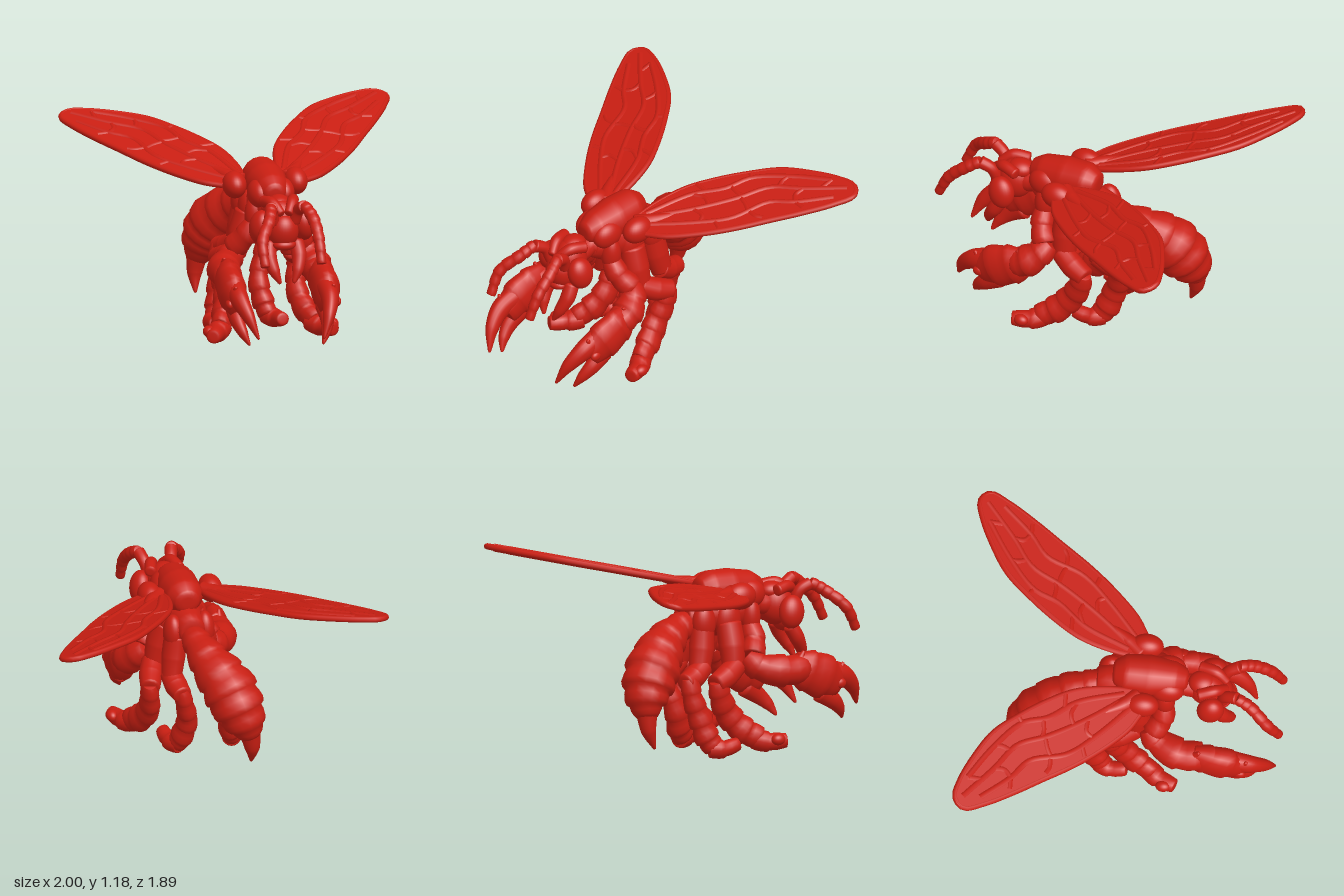
import * as THREE from 'three';

const red = new THREE.MeshStandardMaterial({ color: 0xc81e12 });
const V = (x, y, z) => new THREE.Vector3(x, y, z);

export function createModel() {
  const model = new THREE.Group();
  const add = (name, geo) => {
    const m = new THREE.Mesh(geo, red);
    m.name = name;
    model.add(m);
    return m;
  };

  // Ellipsoid at p with radii r
  const ball = (name, p, r, rot = [0, 0, 0]) => {
    const m = add(name, new THREE.SphereGeometry(1, 28, 18));
    m.position.set(...p);
    m.scale.set(...r);
    m.rotation.set(...rot);
    return m;
  };

  // Rounded limb through [x, y, z, radius] stations, with overlapping armour rings;
  // wide scales the cross-section sideways, s = -1 mirrors it
  const limb = (name, pts, { rings = 0, wide = 1, s = 1, step = 0.12 } = {}) => {
    const curve = new THREE.CatmullRomCurve3(pts.map(p => V(p[0] * s, p[1], p[2])), false, 'centripetal');
    const radius = t => {
      const k = Math.min(t * (pts.length - 1), pts.length - 1.0001), i = Math.floor(k);
      return THREE.MathUtils.lerp(pts[i][3], pts[i + 1][3], k - i);
    };
    const rows = [[0, 0.01], [0, 0.55], [0.008, 0.82]];
    if (rings) {
      for (let i = 0; i < rings; i++)
        [[0.04, 1 - step], [0.35, 0.98], [0.7, 1.03], [0.95, 1.02]].forEach(([f, k]) => rows.push([(i + f) / rings, k]));
    } else for (let i = 1; i < 28; i++) rows.push([i / 28, 1]);
    rows.push([0.993, 0.8], [1, 0.5], [1, 0.01]);
    const n = 16, pos = [], idx = [];
    rows.forEach(([t, k], i) => {
      const c = curve.getPoint(t), T = curve.getTangent(t);
      const N = V(1, 0, 0).addScaledVector(T, -T.x).normalize(), B = T.clone().cross(N);
      const r = radius(t) * k;
      for (let j = 0; j < n; j++) {
        const a = j / n * Math.PI * 2;
        const p = c.clone().addScaledVector(N, Math.cos(a) * r * wide).addScaledVector(B, Math.sin(a) * r);
        pos.push(p.x, p.y, p.z);
        if (i) {
          const q = (i - 1) * n, j2 = (j + 1) % n;
          idx.push(q + j, q + j2, q + n + j, q + j2, q + n + j2, q + n + j);
        }
      }
    });
    const g = new THREE.BufferGeometry();
    g.setAttribute('position', new THREE.Float32BufferAttribute(pos, 3));
    g.setIndex(idx);
    g.computeVertexNormals();
    return add(name, g);
  };

  // Thorax
  limb('thoraxBack', [[0, 0.94, 0.37, 0.055], [0, 0.945, 0.29, 0.1], [0, 0.953, 0.14, 0.122], [0, 0.965, 0, 0.112], [0, 0.965, -0.075, 0.065]]);
  limb('thoraxBody', [[0, 0.84, 0.34, 0.08], [0, 0.83, 0.2, 0.135], [0, 0.82, 0.02, 0.135], [0, 0.82, -0.17, 0.08]], { rings: 3, wide: 0.95 });
  limb('neck', [[0, 0.85, 0.28, 0.08], [0, 0.83, 0.43, 0.065]], { rings: 2 });

  // Abdomen curving down and aside to the stinger
  limb('abdomen', [[0, 0.8, -0.11, 0.065], [-0.025, 0.755, -0.24, 0.095], [-0.07, 0.685, -0.36, 0.132], [-0.135, 0.59, -0.47, 0.165],
    [-0.178, 0.49, -0.54, 0.158], [-0.215, 0.39, -0.58, 0.12], [-0.24, 0.31, -0.59, 0.06]], { rings: 7, step: 0.1 });
  limb('stinger', [[-0.235, 0.34, -0.59, 0.065], [-0.25, 0.23, -0.585, 0.045], [-0.255, 0.12, -0.545, 0.008]]);

  // Head
  ball('head', [0, 0.82, 0.48], [0.1, 0.125, 0.11]);
  ball('face', [0, 0.76, 0.55], [0.09, 0.11, 0.085], [0.25, 0, 0]);
  ball('crown', [0, 0.905, 0.45], [0.07, 0.055, 0.08]);
  ball('upperLip', [0, 0.69, 0.58], [0.07, 0.035, 0.05]);

  for (const s of [1, -1]) {
    ball('eye', [s * 0.13, 0.79, 0.51], [0.064, 0.1, 0.08], [0.2, 0, s * 0.15]);
    limb('brow', [[0.02, 0.88, 0.6, 0.025], [0.06, 0.93, 0.53, 0.035], [0.09, 0.92, 0.43, 0.035]], { s });
    limb('mandible', [[0.08, 0.7, 0.53, 0.045], [0.09, 0.62, 0.575, 0.045], [0.07, 0.54, 0.62, 0.034], [0.04, 0.47, 0.645, 0.01]], { s });
    limb('antennaBase', [[0.06, 0.82, 0.57, 0.035], [0.08, 0.9, 0.6, 0.035], [0.1, 0.94, 0.67, 0.038]], { s });
    const out = s > 0 ? 0.14 : 0.2;
    limb('antenna', [[0.1, 0.945, 0.66, 0.035], [0.13, 0.89, 0.745, 0.037], [out, 0.79, 0.85, 0.035], [out, 0.65, 0.92, 0.027]], { s, rings: 7 });

    // Shoulder and side plates
    ball('wingShoulder', [s * 0.185, 0.945, 0.11], [0.07, 0.08, 0.1]);
    ball('collarPlate', [s * 0.075, 0.92, 0.25], [0.065, 0.085, 0.1]);
    [[0.24, 0.06], [0.08, 0.085], [-0.09, 0.075]].forEach(([z, r]) =>
      ball('sidePlate', [s * 0.095, 0.79, z], [0.06, 0.115, r]));
    addWing(s);

    // Middle leg
    limb('middleThigh', [[0.1, 0.78, 0.08, 0.078], [0.14, 0.64, 0.08, 0.082], [0.17, 0.5, 0.07, 0.066]], { s, wide: 0.9 });
    limb('middleKnee', [[0.17, 0.53, 0.09, 0.065], [0.21, 0.48, -0.01, 0.07], [0.24, 0.45, -0.11, 0.058]], { s });
    limb('middleShin', [[0.24, 0.47, -0.09, 0.058], [0.23, 0.36, -0.06, 0.072], [0.22, 0.25, 0, 0.08], [0.25, 0.15, 0.09, 0.085], [0.29, 0.1, 0.18, 0.065]], { s, rings: 5, wide: 0.8 });
    limb('middleFoot', [[0.26, 0.095, 0.14, 0.065], [0.32, 0.08, 0.22, 0.06], [0.365, 0.085, 0.32, 0.04]], { s, rings: 2 });
    ball('middleToe', [s * 0.375, 0.1, 0.25], [0.035, 0.035, 0.045]);

    // Hind leg, each side placed a little differently
    const [kx, sx, fx] = s > 0 ? [0.09, 0.04, 0.13] : [0.19, 0.21, 0.28];
    limb('hindThigh', [[0.08, 0.78, -0.09, 0.074], [0.1, 0.64, -0.11, 0.078], [0.12, 0.51, -0.14, 0.065]], { s, wide: 0.9 });
    limb('hindKnee', [[0.12, 0.54, -0.11, 0.062], [(0.12 + kx) / 2, 0.49, -0.2, 0.068], [kx, 0.47, -0.29, 0.055]], { s });
    limb('hindShin', [[kx, 0.5, -0.255, 0.055], [(kx + sx) / 2, 0.38, -0.24, 0.064], [sx, 0.26, -0.2, 0.072], [sx + 0.02, 0.14, -0.16, 0.078], [sx + 0.04, 0.07, -0.12, 0.062]], { s, rings: 5, wide: 0.85 });
    limb('hindFoot', [[sx + 0.03, 0.07, -0.15, 0.062], [(sx + fx) / 2 + 0.03, 0.065, -0.07, 0.054], [fx, 0.085, 0.03, 0.038]], { s, rings: 2 });

    // Front arm with pincer; the right one reaches further forward
    const [ax, dy, dz] = s > 0 ? [0.27, 0, -0.02] : [0.31, 0.06, 0.12];
    limb('armShoulder', [[0.09, 0.75, 0.24, 0.06], [0.15, 0.66, 0.23, 0.07], [0.21, 0.58, 0.18, 0.072]], { s, rings: 2 });
    limb('forearm', [[0.19, 0.58, 0.15, 0.065], [0.24, 0.52, 0.2, 0.085], [ax, 0.46 + dy / 2, 0.28 + dz / 2, 0.098], [ax, 0.43 + dy, 0.36 + dz, 0.08]], { s, rings: 3 });
    const P = (x, y, z, r) => [ax + x, y + dy, z + dz, r];
    limb('palm', [P(0, 0.46, 0.28, 0.085), P(0.01, 0.41, 0.38, 0.13), P(0.01, 0.355, 0.5, 0.132), P(0, 0.3, 0.59, 0.085)], { s, wide: 0.62, rings: 3, step: 0.07 });
    limb('upperFinger', [P(0, 0.4, 0.49, 0.075), P(0, 0.35, 0.63, 0.065), P(-0.03, 0.27, 0.72, 0.045), P(-0.075, 0.15, 0.78, 0.009)], { s, wide: 0.8 });
    limb('lowerFinger', [P(0, 0.28, 0.46, 0.065), P(0, 0.21, 0.56, 0.052), P(-0.02, 0.15, 0.62, 0.036), P(-0.05, 0.085, 0.66, 0.009)], { s, wide: 0.8 });
    // Low spines and knobs on the pincer
    for (let i = 0; i < 5; i++) {
      const z = 0.32 + i * 0.07, y = 0.53 - i * 0.026;
      limb('pincerSpine', [P(0.02, y - 0.03, z, 0.028), P(0.025, y + 0.01, z + 0.02, 0.008)], { s });
      ball('pincerKnob', [s * (ax + 0.055), 0.44 + dy - i * 0.03, z + dz - 0.02], [0.022, 0.03, 0.035]);
    }
  }

  // Wing blade with raised veins; it climbs to the rear and tilts up slightly toward its inner edge
  function addWing(s) {
    const lift = (x, z) => 0.95 + 0.21 * (0.1 - z) - 0.09 * (0.79 * (x - 0.18) + 0.62 * (z - 0.05));
    const outline = [[0.11, 0.08], [0.12, -0.08], [0.17, -0.28], [0.26, -0.44], [0.37, -0.59], [0.5, -0.735], [0.65, -0.83],
      [0.82, -0.908], [0.93, -0.93], [0.985, -0.88], [0.94, -0.76], [0.84, -0.59], [0.74, -0.44], [0.62, -0.26], [0.5, -0.11], [0.35, 0.04], [0.25, 0.1]];
    const shape = new THREE.Shape();
    shape.moveTo(outline[0][0] * s, -outline[0][1]);
    shape.splineThru(outline.slice(1).map(([x, z]) => new THREE.Vector2(x * s, -z)));
    const blade = new THREE.ExtrudeGeometry(shape, { depth: 0.02, bevelThickness: 0.006, bevelSize: 0.006, bevelSegments: 2, curveSegments: 3 });
    blade.rotateX(-Math.PI / 2);
    const p = blade.attributes.position;
    for (let i = 0; i < p.count; i++) p.setY(i, p.getY(i) - 0.01 + lift(p.getX(i) * s, p.getZ(i)));
    blade.computeVertexNormals();
    add('wingBlade', blade);
    const vein = (pts, r) => add('wingVein', new THREE.TubeGeometry(
      new THREE.CatmullRomCurve3(pts.map(([x, z]) => V(x * s, lift(x, z), z))), pts.length * 5, r, 8));
    vein(outline, 0.018);
    // Long veins
    [[[0.15, 0.03], [0.33, -0.2], [0.47, -0.42], [0.56, -0.6], [0.72, -0.72], [0.92, -0.89]],
      [[0.14, 0], [0.24, -0.27], [0.36, -0.43], [0.42, -0.58], [0.6, -0.74], [0.8, -0.87]],
      [[0.2, 0.06], [0.42, -0.14], [0.56, -0.3], [0.64, -0.52], [0.76, -0.62], [0.91, -0.79]]].forEach(v => vein(v, 0.024));
    // Cross veins
    [[[0.24, -0.27], [0.32, -0.3], [0.38, -0.28]], [[0.2, -0.34], [0.29, -0.34]], [[0.37, -0.46], [0.45, -0.45], [0.49, -0.46]],
      [[0.33, -0.2], [0.41, -0.2], [0.44, -0.16]], [[0.48, -0.44], [0.55, -0.42], [0.59, -0.4]], [[0.58, -0.73], [0.58, -0.68], [0.6, -0.63]],
      [[0.72, -0.72], [0.72, -0.66], [0.76, -0.62]], [[0.6, -0.4], [0.66, -0.4], [0.7, -0.42]], [[0.42, -0.58], [0.39, -0.6]],
      [[0.8, -0.78], [0.8, -0.84], [0.8, -0.87]], [[0.76, -0.62], [0.83, -0.62]], [[0.5, -0.22], [0.56, -0.2]]].forEach(v => vein(v, 0.022));
    limb('wingRoot', [[0.13, 0.95, 0.09, 0.055], [0.2, 0.965, 0.0, 0.045], [0.28, 0.995, -0.13, 0.02]], { s });
  }

  return model;
}
